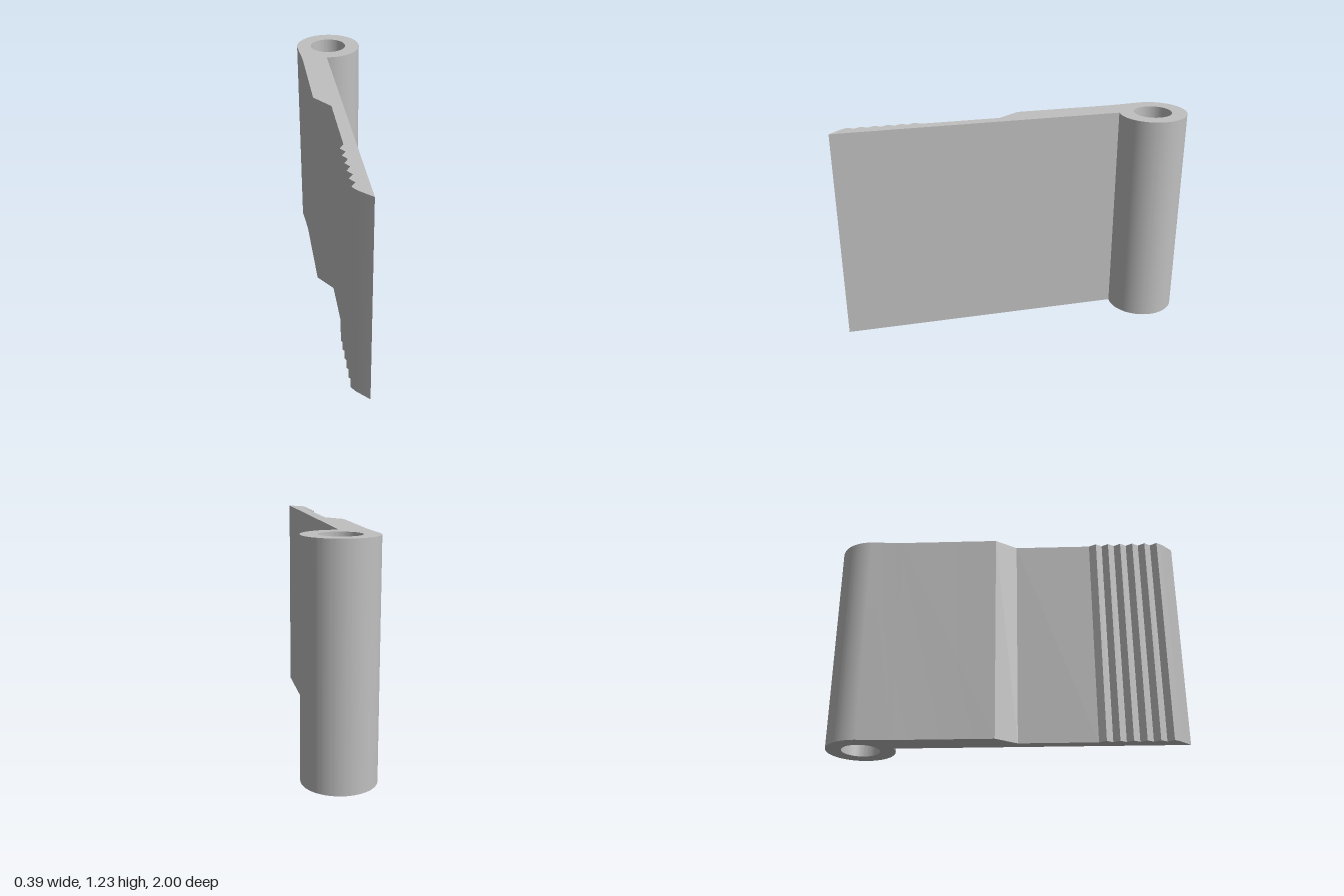
import * as THREE from 'three';
import { toCreasedNormals } from 'three/addons/utils/BufferGeometryUtils.js';

const HEIGHT = 1.23;
const RING = { y: 0.807, outer: 0.193, inner: 0.107 };
const FACE_X = -0.032; // flat side of the leaf
const THIN_X = -0.096; // stepped side of the leaf

// Plan outline of the hinge leaf; shape y becomes -z
function leafProfile() {
  const shape = new THREE.Shape();
  const start = -Math.PI / 2 - Math.asin(-FACE_X / RING.outer);
  shape.moveTo(FACE_X, -1);
  shape.lineTo(FACE_X, RING.y + RING.outer * Math.sin(start));
  // barrel
  shape.absarc(0, RING.y, RING.outer, start, Math.PI + 0.06, false);
  // thick part and ramp to the thin part
  shape.lineTo(-0.18, 0.61);
  shape.lineTo(-0.18, 0.055);
  shape.lineTo(THIN_X, -0.065);
  shape.lineTo(THIN_X, -0.5);
  // gripping teeth
  for (let i = 0; i < 6; i++) {
    const peak = -0.54 - i * 0.072;
    shape.lineTo(-0.12, peak);
    shape.lineTo(THIN_X, peak - 0.036);
  }
  shape.closePath();

  // pin hole
  const hole = new THREE.Path();
  hole.absarc(0, RING.y, RING.inner, 0, Math.PI * 2, true);
  shape.holes.push(hole);
  return shape;
}

export function createModel() {
  const grey = new THREE.MeshStandardMaterial({ color: 0xc0c0c0 });
  grey.name = 'light grey';

  const geometry = new THREE.ExtrudeGeometry(leafProfile(), {
    depth: HEIGHT, bevelEnabled: false, curveSegments: 48,
  });
  geometry.rotateX(-Math.PI / 2);

  const leaf = new THREE.Mesh(toCreasedNormals(geometry, 0.4), grey);
  leaf.name = 'hingeLeafWithBarrel';

  const group = new THREE.Group();
  group.name = 'toothedHinge';
  group.add(leaf);
  return group;
}
